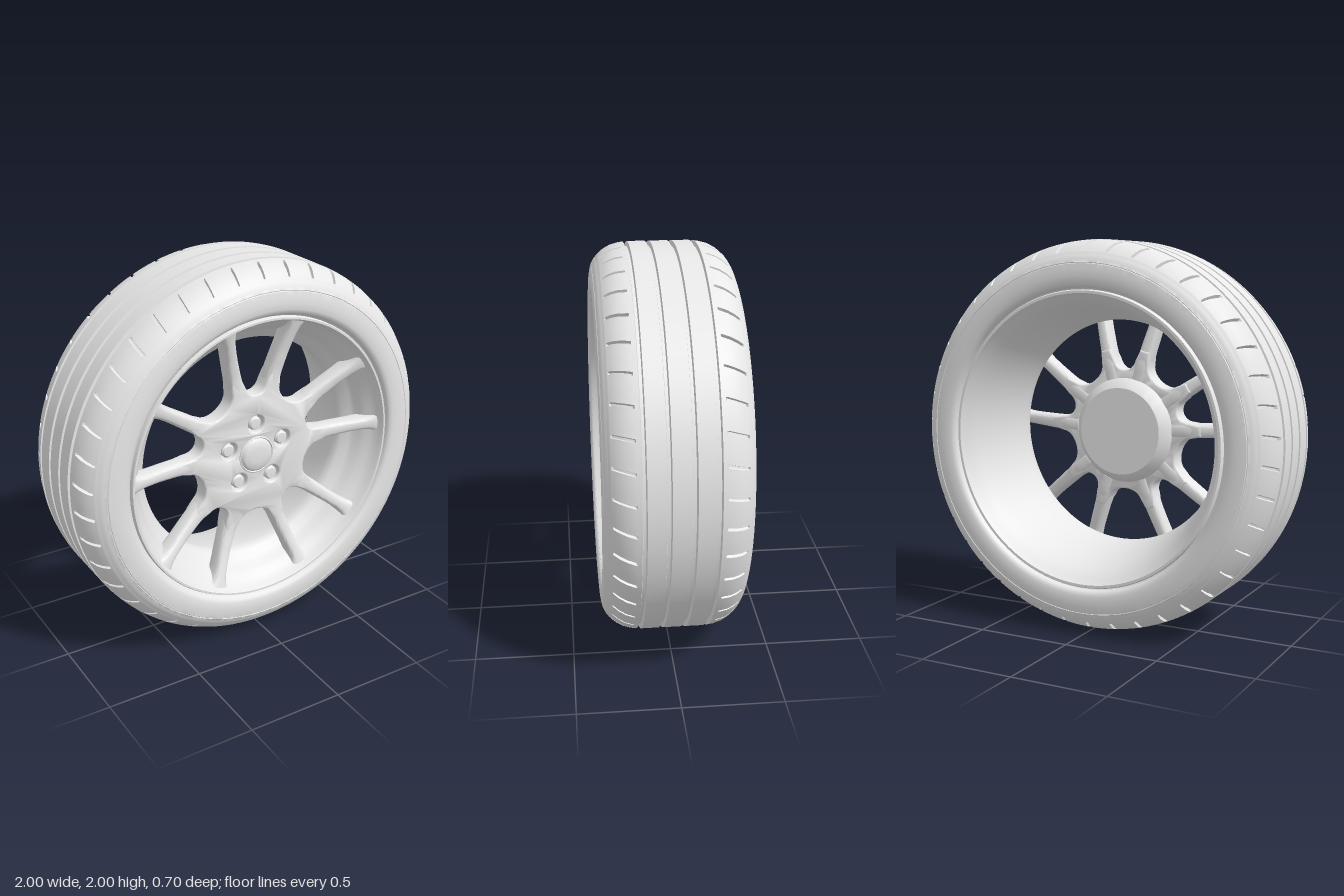
import * as THREE from 'three';
import { toCreasedNormals } from 'three/addons/utils/BufferGeometryUtils.js';

const grey = new THREE.MeshStandardMaterial({ color: 0xe7e7e7 });
grey.name = 'light grey';

const TAU = Math.PI * 2;

// Piecewise linear lookup through [x, y] stops
function lookup(stops, x) {
  if (x <= stops[0][0]) return stops[0][1];
  for (let i = 1; i < stops.length; i++) {
    const [x0, y0] = stops[i - 1], [x1, y1] = stops[i];
    if (x <= x1) return y0 + (y1 - y0) * (x - x0) / (x1 - x0);
  }
  return stops[stops.length - 1][1];
}

// Revolves [radius, z] points around the z axis
function turned(points, segments) {
  const geo = new THREE.LatheGeometry(points.map(([r, z]) => new THREE.Vector2(r, z)), segments);
  return geo.rotateX(Math.PI / 2);
}

function addMesh(group, name, geo, crease = 0.6) {
  const mesh = new THREE.Mesh(toCreasedNormals(geo, crease), grey);
  mesh.name = name;
  group.add(mesh);
  return mesh;
}

// Tyre with ring grooves and 42 slits cut into each shoulder
function tyreGeometry() {
  const half = [
    [1, 0.046], [0.975, 0.05], [0.975, 0.064], [1, 0.068],
    [1, 0.157], [0.975, 0.161], [0.975, 0.175], [0.998, 0.179],
    [0.995, 0.2], [0.994, 0.206], [0.983, 0.245], [0.965, 0.278], [0.947, 0.3],
    [0.939, 0.308], [0.932, 0.316], [0.925, 0.319], [0.92, 0.325],
    [0.9, 0.337], [0.884, 0.343], [0.881, 0.341], [0.878, 0.345],
    [0.85, 0.35], [0.82, 0.352], [0.79, 0.35], [0.774, 0.345], [0.765, 0.335], [0.76, 0.315], [0.74, 0.3],
  ];
  const back = half.map(([r, z]) => [r, -z]).reverse();
  const profile = [...back, ...half, back[0]];
  const count = 42, pitch = TAU / count;
  const steps = [-0.06, -0.035, 0.035, 0.06, 0.24, 0.42, 0.6, 0.77];
  const geo = turned(profile, count * steps.length);
  const pos = geo.attributes.position;
  for (let v = 0; v < pos.count; v++) {
    const i = Math.floor(v / profile.length), s = i % steps.length;
    let [r, z] = profile[v % profile.length];
    // Slits slant slightly across each shoulder
    const slant = Math.abs(z) > 0.19 ? 0.25 * (z - Math.sign(z) * 0.25) : 0;
    const a = Math.PI / 2 + (Math.floor(i / steps.length) + steps[s]) * pitch + slant;
    const onShoulder = Math.abs(z) > 0.203 && Math.abs(z) < 0.305 && r > 0.9;
    if (onShoulder && (s === 1 || s === 2)) r -= 0.018;
    pos.setXYZ(v, r * Math.cos(a), r * Math.sin(a), z);
  }
  return geo;
}

// Ten spokes in five pairs, listed anticlockwise
const spokeAngles = [];
for (let k = 0; k < 5; k++)
  for (const side of [-1, 1]) spokeAngles.push(Math.PI / 2 + k * TAU / 5 + side * 0.27);

// Star-shaped hub with rounded valleys between the spoke roots and five nut pockets
function hubGeometry() {
  const edge = (a, r, w) =>
    [r * Math.cos(a) - w * Math.sin(a), r * Math.sin(a) + w * Math.cos(a)];
  const w = 0.029;
  const shape = new THREE.Shape();
  shape.moveTo(...edge(spokeAngles[0], 0.38, -w));
  spokeAngles.forEach((a, i) => {
    const next = spokeAngles[(i + 1) % spokeAngles.length];
    shape.lineTo(...edge(a, 0.43, -0.018));
    shape.lineTo(...edge(a, 0.43, 0.018));
    shape.lineTo(...edge(a, 0.38, w));
    shape.bezierCurveTo(...edge(a, 0.295, w), ...edge(next, 0.295, -w), ...edge(next, 0.38, -w));
  });
  for (let k = 0; k < 5; k++) {
    const a = Math.PI / 2 + k * TAU / 5;
    const hole = new THREE.Path();
    hole.absarc(0.167 * Math.cos(a), 0.167 * Math.sin(a), 0.058, 0, TAU, true);
    shape.holes.push(hole);
  }
  const geo = new THREE.ExtrudeGeometry(shape, {
    depth: 0.07, bevelThickness: 0.015, bevelSize: 0.012, bevelSegments: 4, curveSegments: 12,
  });
  return geo.translate(0, 0, 0.15);
}

// One rounded spoke along +y, sweeping forward and flaring into the rim
function spokeGeometry() {
  const front = [[0.28, 0.23], [0.36, 0.234], [0.45, 0.238], [0.55, 0.255], [0.65, 0.281], [0.725, 0.302]];
  const back = [[0.28, 0.13], [0.36, 0.13], [0.5, 0.15], [0.65, 0.175], [0.725, 0.2]];
  const width = [[0.28, 0.045], [0.4, 0.039], [0.6, 0.033], [0.66, 0.034], [0.7, 0.042], [0.725, 0.058]];
  const geo = new THREE.CylinderGeometry(1, 1, 1, 24, 18);
  const pos = geo.attributes.position;
  const squared = c => Math.sign(c) * Math.abs(c) ** 0.6;
  for (let v = 0; v < pos.count; v++) {
    const r = 0.28 + 0.445 * (pos.getY(v) + 0.5);
    const zf = lookup(front, r), zb = lookup(back, r);
    pos.setXYZ(v, squared(pos.getX(v)) * lookup(width, r), r,
      (zf + zb) / 2 + squared(pos.getZ(v)) * (zf - zb) / 2);
  }
  return geo;
}

export function createModel() {
  const model = new THREE.Group();
  model.name = 'wheel';
  const wheel = new THREE.Group();
  wheel.name = 'wheelAssembly';
  wheel.position.y = 1;
  model.add(wheel);

  addMesh(wheel, 'tyre', tyreGeometry());

  // Rim: outer wall, front lip, stepped bowl and flared barrel
  addMesh(wheel, 'rim', turned([
    [0.752, -0.328], [0.752, 0.328], [0.748, 0.336], [0.738, 0.336], [0.731, 0.322],
    [0.724, 0.298], [0.705, 0.272], [0.685, 0.25], [0.668, 0.225], [0.655, 0.195], [0.64, 0.175],
    [0.604, 0.15], [0.592, 0.125], [0.592, 0.09], [0.605, 0.02], [0.63, -0.08],
    [0.66, -0.18], [0.685, -0.26], [0.71, -0.3], [0.724, -0.318], [0.734, -0.336],
    [0.747, -0.336], [0.752, -0.328],
  ], 128));

  addMesh(wheel, 'hub', hubGeometry(), 0.7);

  for (const a of spokeAngles) {
    const spoke = addMesh(wheel, 'spoke', spokeGeometry(), 0.8);
    spoke.rotation.z = a - Math.PI / 2;
  }

  // Mounting pad closing the back of the hub
  addMesh(wheel, 'hubBack', turned([
    [0, 0.075], [0.232, 0.075], [0.24, 0.08], [0.285, 0.14], [0.295, 0.17], [0, 0.17],
  ], 48), 0.5);

  addMesh(wheel, 'centreCap', turned([
    [0.1, 0.22], [0.1, 0.24], [0.094, 0.243], [0.09, 0.238], [0.086, 0.246],
    [0.075, 0.254], [0.04, 0.258], [0, 0.259],
  ], 48));

  // Five lug nuts sunk in their pockets
  for (let k = 0; k < 5; k++) {
    const a = Math.PI / 2 + k * TAU / 5;
    const nut = addMesh(wheel, 'lugNut', turned([
      [0.036, 0.16], [0.036, 0.218], [0.028, 0.228], [0, 0.23],
    ], 12));
    nut.position.set(0.167 * Math.cos(a), 0.167 * Math.sin(a), 0);
  }

  return model;
}
